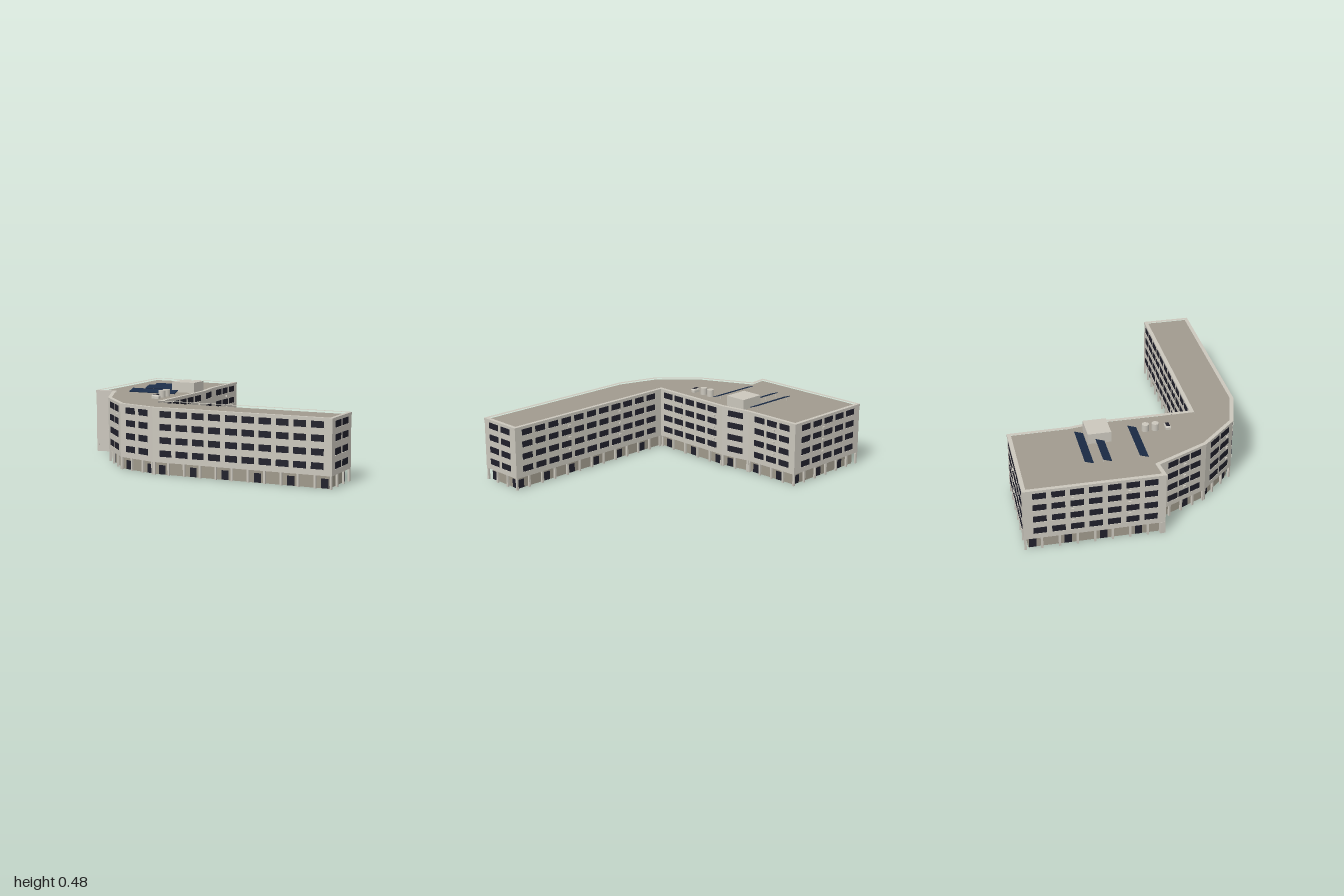
import * as THREE from 'three';

const mat = (name, color) => new THREE.MeshStandardMaterial({ name, color });

export function createModel() {
  const wall = mat('pale concrete', 0xcac6bc);
  const stone = mat('ground floor stone', 0x9f998b);
  const roofMat = mat('roof grey', 0xa09a8e);
  const glass = mat('dark glass', 0x20202b);
  const solar = mat('solar blue', 0x1b2c47);
  const model = new THREE.Group();
  model.name = 'officeBuilding';

  // Footprint corners as [x, z], with outward side on the left of travel
  const plan = [[-1, -0.768], [-0.335, -0.763], [-0.33, -0.36], [-0.295, -0.15],
    [-0.295, 0.44], [1, 0.44], [1, 0.765], [-0.2, 0.765], [-0.48, 0.68],
    [-0.71, 0.44], [-0.875, 0.1], [-1, 0.115]];

  // Footprint moved inwards by d
  const inset = (d) => plan.map((p, i) => {
    const a = plan[(i + plan.length - 1) % plan.length], b = plan[(i + 1) % plan.length];
    const normal = (s, e) => new THREE.Vector2(e[1] - s[1], s[0] - e[0]).normalize();
    const n1 = normal(a, p), n2 = normal(p, b);
    const k = d / (1 + n1.dot(n2));
    return [p[0] - (n1.x + n2.x) * k, p[1] - (n1.y + n2.y) * k];
  });
  const points = (pts) => pts.map(([x, z]) => new THREE.Vector2(x, -z));

  // Upright prism over a footprint, optionally hollow
  function prism(name, outer, y, height, materials, hole) {
    const shape = new THREE.Shape(points(outer));
    if (hole) shape.holes.push(new THREE.Path(points(hole)));
    const geo = new THREE.ExtrudeGeometry(shape, { depth: height, bevelEnabled: false });
    geo.rotateX(-Math.PI / 2);
    const mesh = new THREE.Mesh(geo, materials);
    mesh.name = name;
    mesh.position.y = y;
    model.add(mesh);
  }
  const body = inset(0.003);
  prism('groundFloor', inset(0.03), 0, 0.085, stone);
  prism('upperFloors', body, 0.08, 0.33, [roofMat, wall]);
  prism('parapet', plan, 0.41, 0.015, wall, inset(0.025));

  const unit = new THREE.BoxGeometry(1, 1, 1);
  function box(parent, name, material, size, pos) {
    const mesh = new THREE.Mesh(unit, material);
    mesh.name = name;
    mesh.scale.set(...size);
    mesh.position.set(...pos);
    parent.add(mesh);
    return mesh;
  }

  // Per wall: window count, first centre, spacing, width, air conditioner places
  const facades = [
    ['north', 5, 0.107, 0.113, 0.082, [0.28]],
    ['eastRear', 3, 0.095, 0.107, 0.082, [0.22]],
    ['eastBend', 1, 0.107, 0, 0.12, []],
    ['courtEast', 5, 0.072, 0.107, 0.082, [0.2, 0.52]],
    ['courtNorth', 11, 0.095, 0.11, 0.08, [0.45, 0.9]],
    ['wingEnd', 2, 0.096, 0.12, 0.09, []],
    ['front', 10, 0.092, 0.1125, 0.08, []],
    ['frontBendA', 2, 0.094, 0.115, 0.08, []],
    ['frontBendB', 2, 0.108, 0.123, 0.1, [0.26]],
    ['frontBendC', 3, 0.11, 0.092, 0.078, [0.205]],
    ['blank', 0, 0, 0, 0, []],
    ['west', 7, 0.1, 0.114, 0.082, [0.3, 0.65]],
  ];
  const rows = [0.137, 0.22, 0.303, 0.384];

  facades.forEach(([name, count, first, step, width, coolers], i) => {
    const a = body[i], b = body[(i + 1) % body.length];
    const dx = b[0] - a[0], dz = b[1] - a[1], length = Math.hypot(dx, dz);
    // Local x runs along the wall, local z points outwards
    const side = new THREE.Group();
    side.name = name + 'Facade';
    side.position.set(b[0], 0, b[1]);
    side.rotation.y = Math.atan2(dz, -dx);
    model.add(side);

    if (name === 'blank') {
      box(side, 'solidBaseWall', wall, [length, 0.082, 0.032], [length / 2, 0.041, -0.016]);
      return;
    }
    // Windows with sills on four floors
    for (const y of rows) {
      for (let n = 0; n < count; n++) {
        const x = first + n * step;
        box(side, 'window', glass, [width, 0.04, 0.004], [x, y, 0.001]);
        box(side, 'windowSill', wall, [width + 0.004, 0.003, 0.008], [x, y - 0.0215, 0.002]);
      }
    }
    // Air conditioners between floors
    for (const x of coolers) {
      for (const y of [0.18, 0.262, 0.343]) {
        box(side, 'airConditioner', wall, [0.017, 0.012, 0.012], [x, y, 0.004]);
      }
    }
    // Arcade columns, with a door in every other bay
    const bays = Math.max(1, Math.round(length / 0.108)), bay = length / bays;
    for (let n = 0; n <= bays; n++) {
      const x = THREE.MathUtils.clamp(n * bay, 0.008, length - 0.008);
      box(side, 'column', wall, [0.013, 0.08, 0.013], [x, 0.04, -0.008]);
    }
    for (let n = 0; n < bays; n += 2) {
      box(side, 'door', glass, [0.046, 0.058, 0.006], [(n + 0.5) * bay, 0.03, -0.027]);
    }
  });

  // Rooftop plant room
  box(model, 'plantRoom', wall, [0.17, 0.072, 0.15], [-0.45, 0.444, -0.205]);

  // Tilted solar panels on short legs
  for (const [x0, x1, z] of [[-0.77, -0.42, -0.317], [-0.77, -0.535, -0.203], [-0.77, -0.42, 0.027]]) {
    const w = x1 - x0, x = (x0 + x1) / 2;
    box(model, 'solarPanel', solar, [w, 0.004, 0.058], [x, 0.43, z]).rotation.x = 0.33;
    for (const s of [-0.42, 0, 0.42]) {
      box(model, 'panelLeg', wall, [0.004, 0.028, 0.004], [x + s * w, 0.422, z - 0.022]);
    }
  }

  // Water tanks
  for (const z of [0.108, 0.172]) {
    const tank = new THREE.Mesh(new THREE.CylinderGeometry(0.023, 0.023, 0.048, 20), wall);
    tank.name = 'waterTank';
    tank.position.set(-0.45, 0.433, z);
    model.add(tank);
  }

  // Roof vent with a tapered hood
  box(model, 'ventBase', wall, [0.05, 0.018, 0.032], [-0.45, 0.418, 0.253]);
  const hoodGeo = new THREE.CylinderGeometry(0.5, 0.7071, 1, 4, 1).rotateY(Math.PI / 4).toNonIndexed();
  hoodGeo.computeVertexNormals();
  const hood = new THREE.Mesh(hoodGeo, wall);
  hood.name = 'ventHood';
  hood.scale.set(0.054, 0.01, 0.036);
  hood.position.set(-0.45, 0.432, 0.253);
  model.add(hood);
  box(model, 'ventGrille', glass, [0.042, 0.002, 0.022], [-0.45, 0.4375, 0.253]);

  return model;
}
